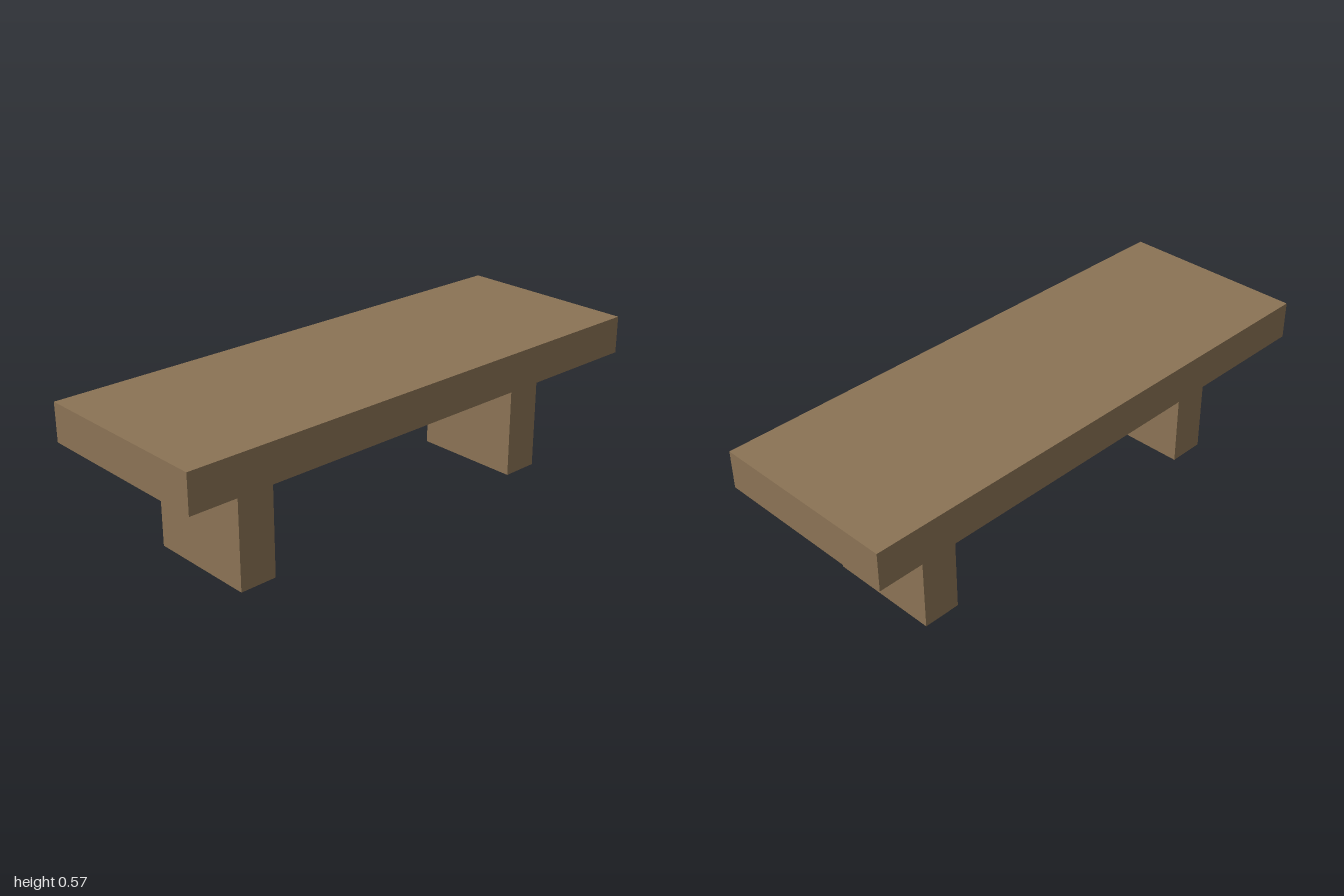
import * as THREE from 'three';

// The bench is proportioned on a module of one seventh of a unit.
const U = 1 / 7;

export function createModel() {
  const bench = new THREE.Group();
  bench.name = 'bench';

  const wood = new THREE.MeshStandardMaterial({ color: 0x8b7355 });
  wood.name = 'brown wood';

  const addBox = (name, w, h, d, x, y) => {
    const mesh = new THREE.Mesh(new THREE.BoxGeometry(w * U, h * U, d * U), wood);
    mesh.name = name;
    mesh.position.set(x * U, y * U, 0);
    bench.add(mesh);
  };

  // Seat slab
  addBox('seat', 14, 1, 5, 0, 3.5);

  // Slab legs, mirrored left and right
  for (const side of [1, -1]) {
    addBox(side > 0 ? 'leftLeg' : 'rightLeg', 1, 3, 3, side * 4.5, 1.5);
  }

  return bench;
}
